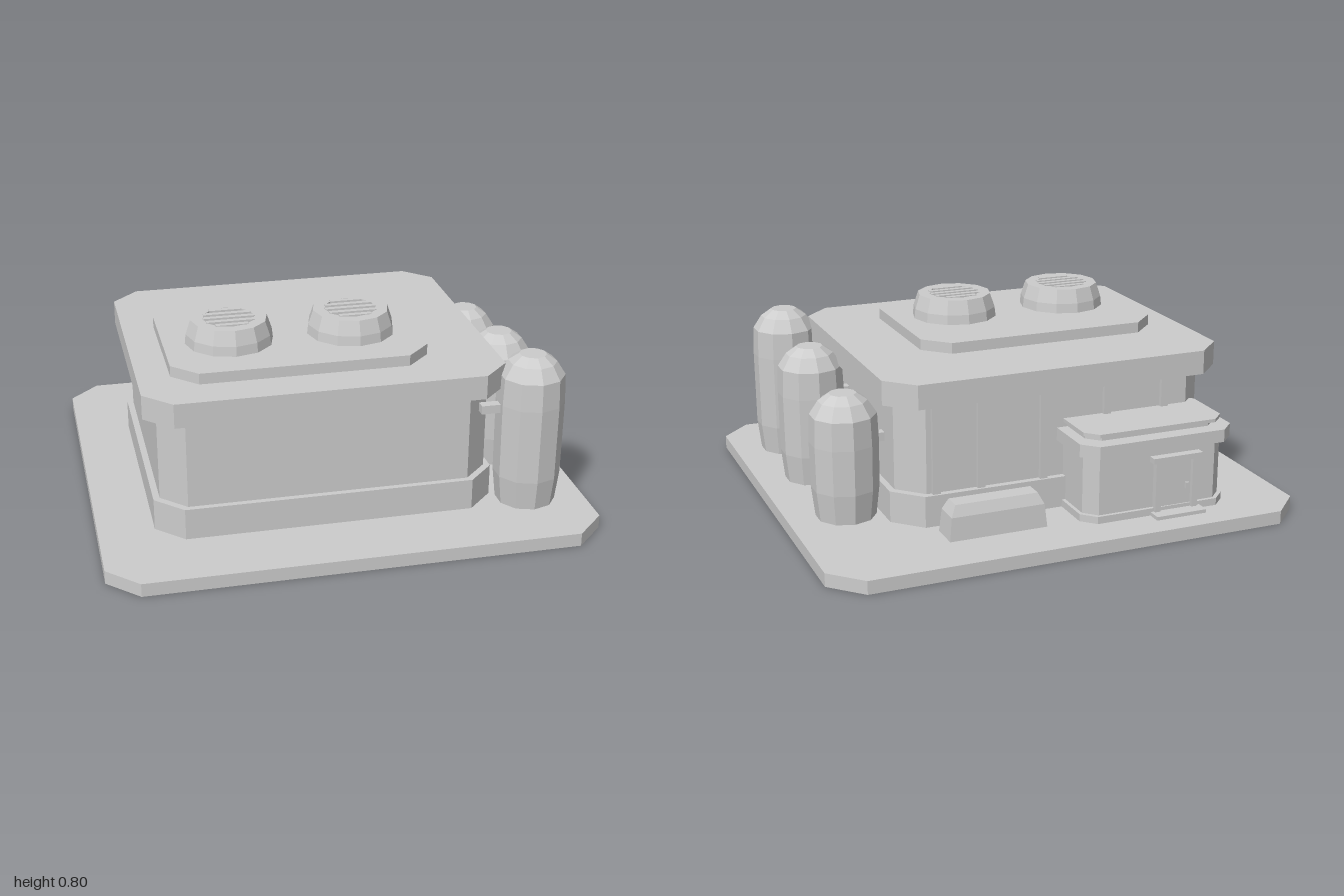
import * as THREE from 'three';

const concrete = new THREE.MeshStandardMaterial({ color: 0xcccccc });
concrete.name = 'grey concrete';
concrete.flatShading = true;

function add(group, name, geometry) {
  const mesh = new THREE.Mesh(geometry, concrete);
  mesh.name = name;
  group.add(mesh);
  return mesh;
}

// Upright slab with four cut corners
function slab(group, name, x0, x1, z0, z1, y0, y1, cut) {
  const s = new THREE.Shape([
    [x0 + cut, z0], [x1 - cut, z0], [x1, z0 + cut], [x1, z1 - cut],
    [x1 - cut, z1], [x0 + cut, z1], [x0, z1 - cut], [x0, z0 + cut],
  ].map(([x, z]) => new THREE.Vector2(x, z)));
  const g = new THREE.ExtrudeGeometry(s, { depth: y1 - y0, bevelEnabled: false });
  g.rotateX(Math.PI / 2);
  g.translate(0, y1, 0);
  return add(group, name, g);
}

function box(group, name, x0, x1, y0, y1, z0, z1) {
  const g = new THREE.BoxGeometry(x1 - x0, y1 - y0, z1 - z0);
  g.translate((x0 + x1) / 2, (y0 + y1) / 2, (z0 + z1) / 2);
  return add(group, name, g);
}

// Box whose top is narrowed by the given insets
function taperedBox(group, name, x0, x1, y0, y1, z0, z1, inX, inZ) {
  const mesh = box(group, name, x0, x1, y0, y1, z0, z1);
  const p = mesh.geometry.attributes.position;
  for (let i = 0; i < p.count; i++) {
    if (p.getY(i) < (y0 + y1) / 2) continue;
    p.setX(i, p.getX(i) + (p.getX(i) < (x0 + x1) / 2 ? inX : -inX));
    p.setZ(i, p.getZ(i) + (p.getZ(i) < (z0 + z1) / 2 ? inZ : -inZ));
  }
  mesh.geometry.computeVertexNormals();
  return mesh;
}

function lathe(group, name, points, sides, x, z) {
  const g = new THREE.LatheGeometry(points.map(([r, y]) => new THREE.Vector2(r, y)), sides);
  g.translate(x, 0, z);
  return add(group, name, g);
}

function part(parent, name) {
  const g = new THREE.Group();
  g.name = name;
  parent.add(g);
  return g;
}

export function createModel() {
  const model = new THREE.Group();
  model.name = 'industrialBuilding';

  slab(model, 'groundPad', -1, 1, -0.935, 0.935, 0, 0.055, 0.125);

  // Main hall
  const hall = part(model, 'mainHall');
  slab(hall, 'skirt', -0.773, 0.622, -0.553, 0.638, 0.05, 0.185, 0.11);
  slab(hall, 'walls', -0.747, 0.597, -0.526, 0.614, 0.18, 0.56, 0.1);
  slab(hall, 'roof', -0.805, 0.655, -0.581, 0.669, 0.555, 0.655, 0.11);
  slab(hall, 'roofPlate', -0.672, 0.374, -0.233, 0.504, 0.65, 0.7, 0.1);
  for (const x of [0.46, 0.27, 0, -0.28, -0.54]) {
    box(hall, 'wallRib', x - 0.016, x + 0.016, 0.18, 0.56, -0.543, -0.52);
  }

  // Roof vents with slatted openings
  for (const x of [-0.401, 0.105]) {
    const vent = part(model, 'roofVent');
    const z = 0.188;
    lathe(vent, 'ventHousing', [
      [0.182, 0.695], [0.177, 0.74], [0.157, 0.8], [0.107, 0.8], [0.107, 0.74], [0, 0.74],
    ], 12, x, z);
    for (let i = -2; i <= 2; i++) {
      const dz = i * 0.042;
      const half = Math.sqrt(0.107 ** 2 - dz ** 2);
      box(vent, 'ventSlat', x - half, x + half, 0.76, 0.803, z + dz - 0.011, z + dz + 0.011);
    }
  }

  // Storage tanks, each joined to the hall by a pipe: z, top, pipe height
  for (const [z, top, pipe] of [[0.583, 0.697, 0.475], [0.172, 0.635, 0.425], [-0.296, 0.568, 0.37]]) {
    const tank = part(model, 'storageTank');
    lathe(tank, 'tankBody', [
      [0.122, 0.05], [0.137, 0.18], [0.139, top - 0.2],
      [0.134, top - 0.085], [0.098, top - 0.03], [0.055, top], [0, top],
    ], 10, 0.76, z);
    box(tank, 'tankPipe', 0.55, 0.68, pipe - 0.018, pipe + 0.018, z - 0.02, z + 0.02);
  }

  // Entrance annex at the back
  const annex = part(model, 'entranceAnnex');
  slab(annex, 'annexPlinth', -0.72, -0.076, -0.776, -0.45, 0.03, 0.085, 0.055);
  slab(annex, 'annexWalls', -0.706, -0.091, -0.761, -0.45, 0.08, 0.34, 0.05);
  slab(annex, 'annexEave', -0.735, -0.062, -0.801, -0.45, 0.335, 0.388, 0.06);
  slab(annex, 'annexRoofRiser', -0.685, -0.11, -0.736, -0.45, 0.38, 0.412, 0.05);
  slab(annex, 'annexRoof', -0.703, -0.09, -0.764, -0.45, 0.41, 0.424, 0.05);

  // Door with frame, lintel, knob and step
  const door = part(annex, 'door');
  box(door, 'doorPanel', -0.55, -0.4, 0.06, 0.27, -0.77, -0.755);
  for (const x of [-0.57, -0.405]) {
    box(door, 'doorPost', x, x + 0.025, 0.06, 0.285, -0.787, -0.755);
  }
  box(door, 'doorLintel', -0.583, -0.363, 0.28, 0.303, -0.797, -0.755);
  box(door, 'doorKnob', -0.535, -0.52, 0.15, 0.175, -0.78, -0.765);
  box(door, 'doorStep', -0.587, -0.365, 0.03, 0.07, -0.834, -0.77);

  // Trough beside the entrance
  const trough = part(model, 'trough');
  taperedBox(trough, 'troughBody', 0.064, 0.474, 0.05, 0.15, -0.723, -0.597, 0.01, 0.008);
  taperedBox(trough, 'troughTop', 0.074, 0.464, 0.15, 0.195, -0.715, -0.605, 0.022, 0.018);

  return model;
}
